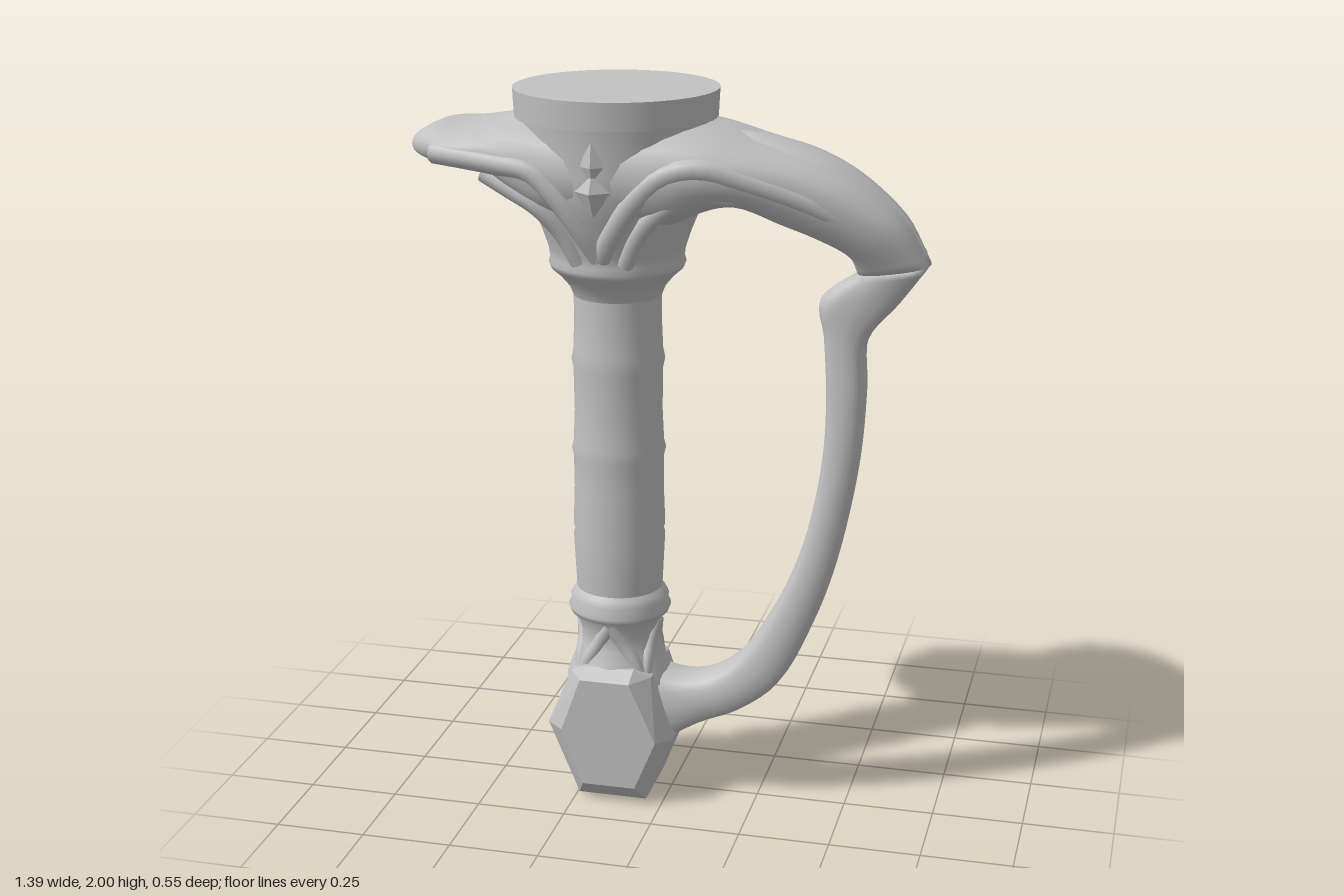
import * as THREE from 'three';
import { ConvexGeometry } from 'three/addons/geometries/ConvexGeometry.js';

const AXIS = -0.15; // x of the grip's centre line
const V = (x, y, z = 0) => new THREE.Vector3(x, y, z);

// Skin over sections; each station is [topX, topY, bottomX, bottomY, halfWidth].
// e sets the section: 1 is an ellipse, smaller is boxier.
function loft(stations, { steps = 5, sides = 24, e = 0.8 } = {}) {
  const n = (stations.length - 1) * steps;
  const tops = new THREE.CatmullRomCurve3(stations.map(s => V(s[0], s[1], s[4])));
  const bottoms = new THREE.CatmullRomCurve3(stations.map(s => V(s[2], s[3], s[4])));
  const bend = v => Math.sign(v) * Math.abs(v) ** e;
  const pos = [], index = [];
  for (let i = 0; i <= n; i++) {
    const a = tops.getPoint(i / n), b = bottoms.getPoint(i / n);
    for (let j = 0; j < sides; j++) {
      const t = (j / sides) * Math.PI * 2, u = bend(Math.cos(t)) / 2;
      pos.push((a.x + b.x) / 2 + (a.x - b.x) * u, (a.y + b.y) / 2 + (a.y - b.y) * u, a.z * bend(Math.sin(t)));
      if (i < n) {
        const p = i * sides + j, q = i * sides + (j + 1) % sides;
        index.push(p, q, p + sides, q, q + sides, p + sides);
      }
    }
  }
  // end caps
  for (let j = 1; j < sides - 1; j++) {
    const k = n * sides;
    index.push(0, j + 1, j, k, k + j, k + j + 1);
  }
  const g = new THREE.BufferGeometry();
  g.setAttribute('position', new THREE.Float32BufferAttribute(pos, 3));
  g.setIndex(index);
  g.computeVertexNormals();
  return g;
}

// Round ridge along a smooth path
const ridge = (pts, r) => new THREE.TubeGeometry(
  new THREE.CatmullRomCurve3(pts.map(p => V(...p))), 24, r, 10);

export function createModel() {
  const group = new THREE.Group();
  const metal = new THREE.MeshStandardMaterial({ color: 0xc2c2c2 });
  metal.name = 'light grey metal';

  function add(name, geometry, x = 0, y = 0) {
    const m = new THREE.Mesh(geometry, metal);
    m.name = name;
    m.position.set(x, y, 0);
    group.add(m);
    return m;
  }
  const lathe = (name, pts) => add(name,
    new THREE.LatheGeometry(pts.map(p => new THREE.Vector2(...p)), 40), AXIS);

  // Disc on top
  add('topDisc', new THREE.CylinderGeometry(0.272, 0.268, 0.075, 56), AXIS, 1.9625);

  // Cup under the disc, running down into the upper collar
  lathe('cup', [[0.118, 1.44], [0.13, 1.47], [0.155, 1.5], [0.178, 1.52], [0.184, 1.535],
    [0.18, 1.55], [0.183, 1.575], [0.198, 1.62], [0.222, 1.68],
    [0.24, 1.74], [0.247, 1.8], [0.246, 1.86], [0.255, 1.93]]);

  // Grip with shallow bands
  lathe('grip', [[0.118, 0.58], [0.122, 0.66], [0.127, 0.76], [0.122, 0.775], [0.127, 0.79],
    [0.123, 0.9], [0.124, 0.99], [0.129, 1.01], [0.124, 1.03], [0.12, 1.12], [0.122, 1.24],
    [0.127, 1.265], [0.122, 1.29], [0.118, 1.38], [0.12, 1.47]]);

  // Lower collar and neck
  lathe('neck', [[0.15, 0.34], [0.132, 0.39], [0.112, 0.44], [0.108, 0.48],
    [0.12, 0.52], [0.13, 0.54]]);
  lathe('lowerCollar', [[0.115, 0.525], [0.137, 0.535], [0.143, 0.55], [0.134, 0.568],
    [0.137, 0.58], [0.128, 0.597], [0.118, 0.61]]);

  // Pointed arches around the neck
  for (let k = 0; k < 4; k++) {
    for (const s of [-1, 1]) {
      const arch = add('neckArch', ridge([[0, 0.52, 0.106], [s * 0.035, 0.46, 0.094],
        [s * 0.065, 0.41, 0.092], [s * 0.085, 0.36, 0.09]], 0.02), AXIS);
      arch.rotation.y = k * Math.PI / 2;
    }
  }

  // Faceted pommel: a wide girdle between two smaller hexagonal faces
  const face = [[-0.28, 0.215], [-0.225, 0.37], [-0.085, 0.37], [-0.01, 0.2], [-0.07, 0.055], [-0.22, 0.055]];
  const girdle = [[-0.333, 0.21], [-0.265, 0.375], [-0.035, 0.375], [0.025, 0.19], [-0.05, 0], [-0.245, 0]];
  const corners = [];
  for (const s of [-1, 1]) {
    for (const p of face) corners.push(V(p[0], p[1], s * 0.16));
    for (const p of girdle) corners.push(V(p[0], p[1], s * 0.105));
    for (const x of [-0.22, -0.08]) corners.push(V(x, 0.4, s * 0.125));
  }
  add('pommel', new ConvexGeometry(corners));

  // Short paddle-shaped guard arm
  add('rearGuardArm', loft([
    [-0.7, 1.848, -0.7, 1.835, 0.04], [-0.685, 1.866, -0.683, 1.812, 0.095],
    [-0.63, 1.893, -0.625, 1.795, 0.165], [-0.55, 1.897, -0.54, 1.783, 0.205],
    [-0.46, 1.912, -0.445, 1.765, 0.22], [-0.38, 1.93, -0.385, 1.71, 0.23],
    [-0.28, 1.935, -0.31, 1.66, 0.238], [-0.15, 1.935, -0.15, 1.66, 0.242]]));

  // Long guard arm, tapering forward and down
  add('frontGuardArm', loft([
    [-0.15, 1.935, -0.15, 1.66, 0.242], [0, 1.935, 0.01, 1.65, 0.24],
    [0.12, 1.915, 0.1, 1.69, 0.233], [0.23, 1.885, 0.19, 1.71, 0.212],
    [0.38, 1.847, 0.31, 1.665, 0.175], [0.5, 1.79, 0.41, 1.625, 0.145],
    [0.62, 1.69, 0.48, 1.585, 0.112], [0.69, 1.57, 0.5, 1.54, 0.075]]));

  // Raised leaf on the long arm
  add('armLeaf', loft([
    [0.17, 1.9, 0.16, 1.86, 0.01], [0.25, 1.89, 0.23, 1.83, 0.08],
    [0.38, 1.857, 0.36, 1.79, 0.1], [0.5, 1.8, 0.47, 1.74, 0.07],
    [0.62, 1.698, 0.59, 1.66, 0.03], [0.68, 1.6, 0.65, 1.59, 0.01]], { sides: 16, e: 1 }));

  // Knuckle bow: sharp elbow, then a long curve down to the pommel
  add('knuckleBow', loft([
    [0.69, 1.57, 0.5, 1.54, 0.075], [0.61, 1.46, 0.402, 1.462, 0.07],
    [0.532, 1.36, 0.415, 1.37, 0.065], [0.53, 1.22, 0.425, 1.22, 0.068],
    [0.52, 1.05, 0.423, 1.07, 0.072], [0.495, 0.88, 0.4, 0.9, 0.075],
    [0.455, 0.7, 0.355, 0.73, 0.075], [0.4, 0.54, 0.29, 0.58, 0.073],
    [0.31, 0.36, 0.2, 0.44, 0.072], [0.2, 0.27, 0.12, 0.377, 0.074],
    [0.09, 0.22, 0.04, 0.36, 0.08], [-0.02, 0.15, -0.06, 0.38, 0.085]], { sides: 16, e: 0.7 }));

  // Ornament and sweeping ridges on both faces of the guard
  for (const f of [-1, 1]) {
    const side = f > 0 ? 'front' : 'back';
    const diamond = (y, up, down, w, depth) => new ConvexGeometry([
      V(0, y + up, f * 0.246), V(0, y - down, f * 0.236), V(-w, y, f * 0.236),
      V(w, y, f * 0.236), V(0, y, f * depth), V(0, y, f * 0.2)]);
    add(side + 'UpperDiamond', diamond(1.83, 0.09, 0.07, 0.045, 0.262), AXIS);
    add(side + 'LowerDiamond', diamond(1.765, 0.05, 0.07, 0.05, 0.276), AXIS);
    for (const s of [-1, 1]) {
      const outward = s > 0
        ? [[0.26, 1.83, 0.212], [0.38, 1.8, 0.182], [0.53, 1.745, 0.14], [0.66, 1.675, 0.095]]
        : [[0.26, 1.82, 0.208], [0.36, 1.83, 0.19], [0.45, 1.835, 0.165]];
      const mainPath = [[0, 1.58, 0.17], [0.045, 1.66, 0.2], [0.1, 1.74, 0.217], [0.17, 1.805, 0.218], ...outward];
      const innerPath = [[0.06, 1.56, 0.152], [0.1, 1.64, 0.172], [0.16, 1.71, 0.192], [0.24, 1.755, 0.187],
        s > 0 ? [0.36, 1.755, 0.16] : [0.31, 1.79, 0.175]];
      const place = path => path.map(([x, y, z]) => [s * x, y, f * z]);
      add(side + 'GuardRidge', ridge(place(mainPath), 0.03), AXIS);
      add(side + 'InnerRidge', ridge(place(innerPath), 0.026), AXIS);
    }
  }
  return group;
}
